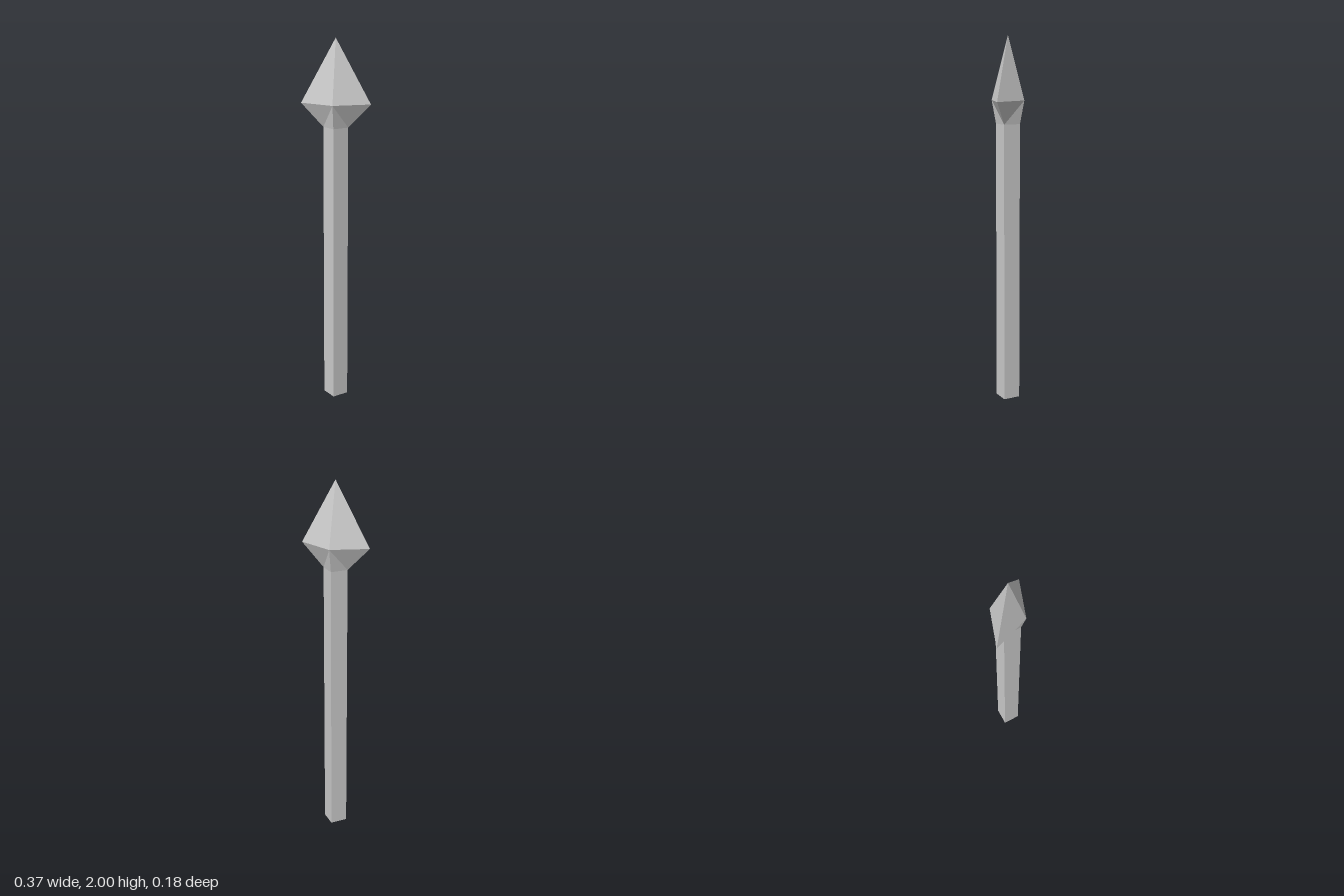
import * as THREE from 'three';

const SHAFT_R = 0.067, SHAFT_TOP = 1.535, HEAD_Y = 1.66, TIP_Y = 2;

// Four corners of a diamond section, in the order +x, +z, -x, -z
const diamond = (rx, rz, y) =>
  [[rx, 0], [0, rz], [-rx, 0], [0, -rz]].map(([x, z]) => [x, y, z]);

function headGeometry() {
  const neck = diamond(SHAFT_R, SHAFT_R, SHAFT_TOP);
  const rim = diamond(0.187, 0.091, HEAD_Y);
  const tip = [0, TIP_Y, 0];
  const points = [];
  for (let i = 0; i < 4; i++) {
    const j = (i + 1) % 4;
    // flare under the blade, creased from each flat-side rim corner to the side neck corner
    if (i % 2 === 0) points.push(neck[j], neck[i], rim[j], neck[i], rim[i], rim[j]);
    else points.push(neck[j], neck[i], rim[i], neck[j], rim[i], rim[j]);
    // blade facet up to the tip
    points.push(rim[j], rim[i], tip);
  }
  const geometry = new THREE.BufferGeometry();
  geometry.setAttribute('position', new THREE.Float32BufferAttribute(points.flat(), 3));
  geometry.computeVertexNormals();
  return geometry;
}

export function createModel() {
  const group = new THREE.Group();
  group.name = 'spear';
  const material = new THREE.MeshStandardMaterial({ color: 0xcccccc, flatShading: true });

  // Square shaft, set with its corners on the axes
  const shaft = new THREE.Mesh(
    new THREE.CylinderGeometry(SHAFT_R, SHAFT_R, SHAFT_TOP, 4), material);
  shaft.position.y = SHAFT_TOP / 2;
  shaft.name = 'shaft';

  // Flattened faceted spearhead
  const head = new THREE.Mesh(headGeometry(), material);
  head.name = 'spearhead';

  group.add(shaft, head);
  return group;
}
